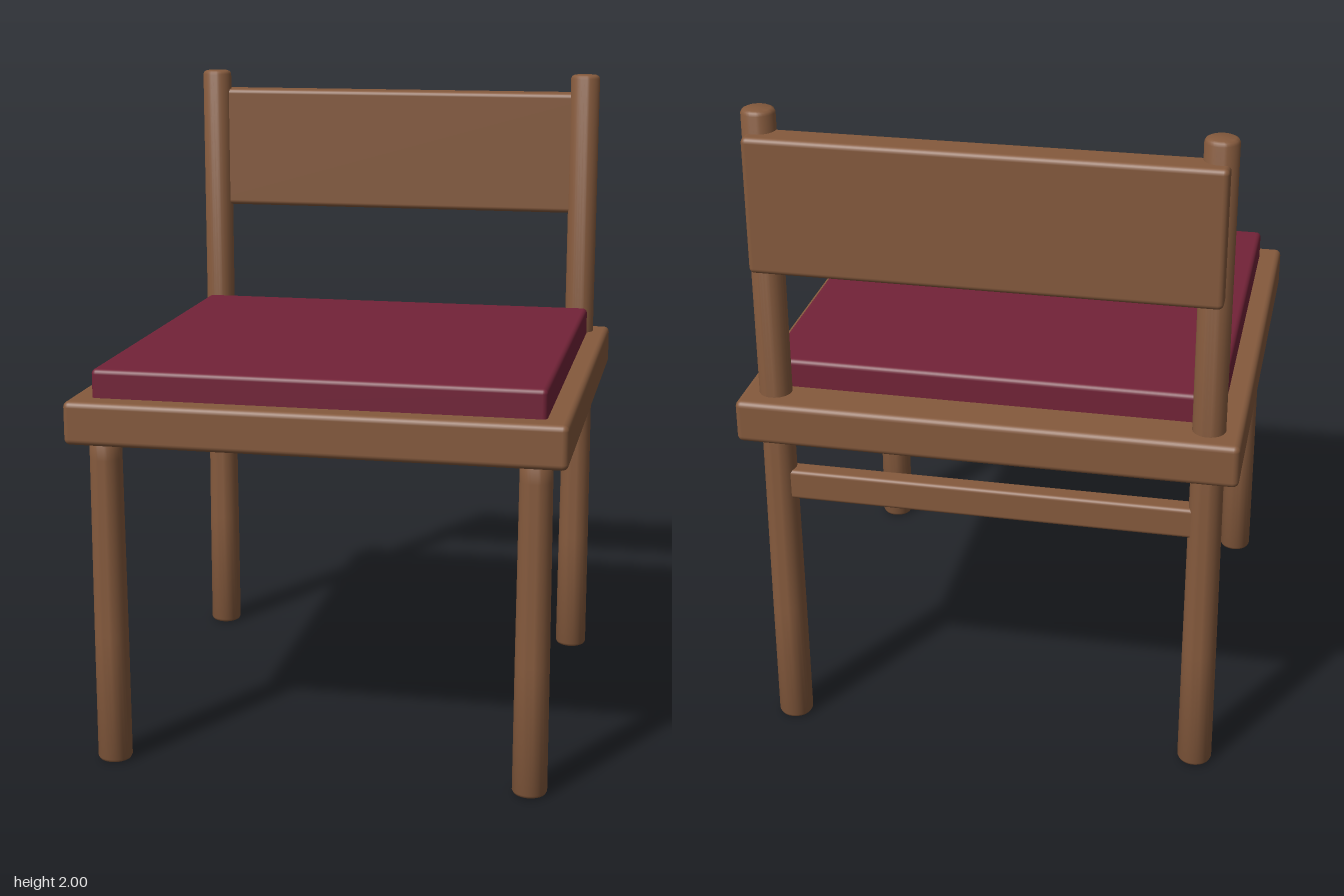
import * as THREE from 'three';
import { RoundedBoxGeometry } from 'three/addons/geometries/RoundedBoxGeometry.js';
import { toCreasedNormals } from 'three/addons/utils/BufferGeometryUtils.js';

export function createModel() {
  const chair = new THREE.Group();
  chair.name = 'chair';

  const wood = new THREE.MeshStandardMaterial({ color: 0x855a3d });
  wood.name = 'brown wood';
  const fabric = new THREE.MeshStandardMaterial({ color: 0x732338 });
  fabric.name = 'burgundy fabric';

  // Soft-edged box given by its extents on each axis
  function slab(name, material, [x0, x1], [y0, y1], [z0, z1], radius) {
    const geometry = new RoundedBoxGeometry(x1 - x0, y1 - y0, z1 - z0, 3, radius);
    const mesh = new THREE.Mesh(geometry, material);
    mesh.name = name;
    mesh.position.set((x0 + x1) / 2, (y0 + y1) / 2, (z0 + z1) / 2);
    chair.add(mesh);
  }

  // Round, slightly tapered pole with bevelled ends, standing on the floor
  function pole(name, height, x, z) {
    const bottom = 0.052, top = 0.048, bevel = 0.012;
    const profile = [
      [0, 0], [bottom - bevel, 0], [bottom - 0.004, 0.004], [bottom, bevel],
      [0.051, 0.4], [top, 0.95], [top, height - bevel],
      [top - 0.004, height - 0.004], [top - bevel, height], [0, height],
    ].map(([r, y]) => new THREE.Vector2(r, y));
    const geometry = toCreasedNormals(new THREE.LatheGeometry(profile, 32), 0.9);
    const mesh = new THREE.Mesh(geometry, wood);
    mesh.name = name;
    mesh.position.set(x, 0, z);
    chair.add(mesh);
  }

  // Front legs stop under the seat, back posts carry the backrest
  for (const [side, s] of [['left', 1], ['right', -1]]) {
    pole(`${side}FrontLeg`, 1.008, s * 0.635, 0.635);
    pole(`${side}BackPost`, 2, s * 0.635, -0.635);
  }

  // Seat and cushion
  slab('seat', wood, [-0.732, 0.732], [1.005, 1.135], [-0.732, 0.732], 0.018);
  slab('cushion', fabric, [-0.665, 0.665], [1.1, 1.22], [-0.6, 0.665], 0.015);

  // Backrest panel and the rail between the back posts
  slab('backrest', wood, [-0.665, 0.665], [1.538, 1.938], [-0.718, -0.618], 0.016);
  slab('backRail', wood, [-0.63, 0.63], [0.79, 0.885], [-0.665, -0.605], 0.012);

  return chair;
}
